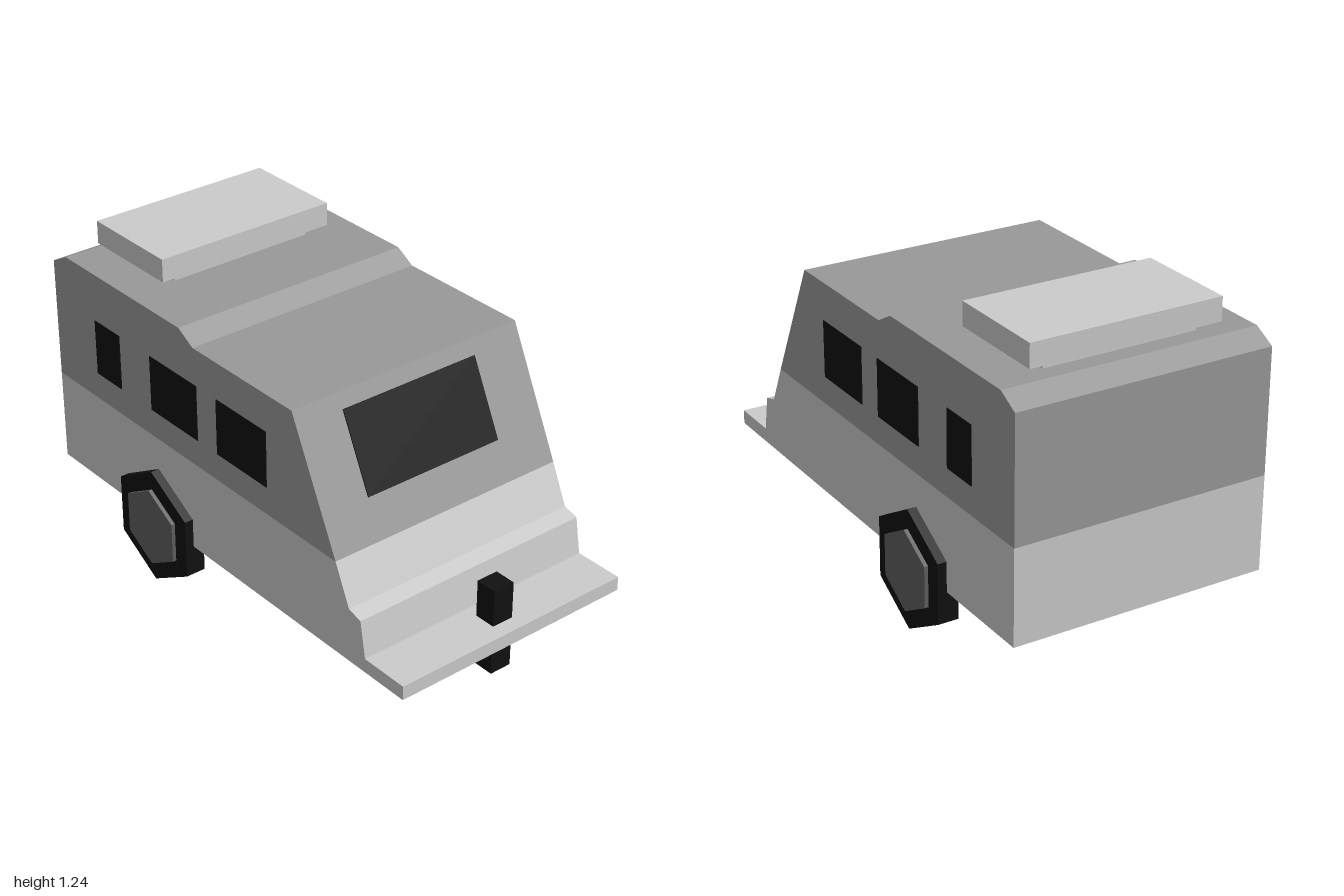
import * as THREE from 'three';

const material = (color) => new THREE.MeshStandardMaterial({ color, flatShading: true });

export function createModel() {
  const model = new THREE.Group();
  model.name = 'camperTrailer';
  const light = material(0xcccccc);
  const grey = material(0x999999);
  const black = material(0x111111);
  const hubGrey = material(0x606060);

  const add = (name, geometry, mat, x = 0, y = 0, z = 0) => {
    const mesh = new THREE.Mesh(geometry, mat);
    mesh.name = name;
    mesh.position.set(x, y, z);
    model.add(mesh);
    return mesh;
  };
  // Box given by its extents in x and y, and its depth centred on z
  const addBox = (name, mat, x0, x1, y0, y1, depth, z = 0) =>
    add(name, new THREE.BoxGeometry(x1 - x0, y1 - y0, depth), mat, (x0 + x1) / 2, (y0 + y1) / 2, z);
  // Side profile extruded across the full width
  const addProfile = (name, mat, points) => {
    const shape = new THREE.Shape(points.map(([x, y]) => new THREE.Vector2(x, y)));
    add(name, new THREE.ExtrudeGeometry(shape, { depth: 1, bevelEnabled: false }), mat, 0, 0, -0.5);
  };

  // Two-tone body: lower hull with the tow platform, upper cabin with raised roof
  addProfile('lowerBody', light, [
    [-1, 0.235], [1, 0.235], [1, 0.29], [0.805, 0.29], [0.78, 0.43],
    [0.72, 0.447], [0.649, 0.6], [-1, 0.6],
  ]);
  addProfile('upperBody', grey, [
    [-1, 0.6], [0.649, 0.6], [0.42, 1.075], [-0.13, 1.075],
    [-0.21, 1.12], [-0.915, 1.12], [-1, 1.075],
  ]);

  // Roof unit
  addBox('roofUnitBase', light, -0.845, -0.51, 1.115, 1.15, 0.6);
  addBox('roofUnitCover', light, -0.885, -0.475, 1.15, 1.24, 0.75);

  // Side windows and hexagonal wheels, mirrored
  for (const side of [1, -1]) {
    for (const [x0, x1] of [[-0.74, -0.585], [-0.395, -0.115], [0, 0.28]]) {
      addBox('sideWindow', black, x0, x1, 0.71, 0.93, 0.01, side * 0.498);
    }
    const wheel = add('wheel', new THREE.CylinderGeometry(0.235, 0.235, 0.08, 6), black, -0.37, 0.235, side * 0.495);
    wheel.rotation.x = Math.PI / 2;
    const hub = add('wheelHub', new THREE.CylinderGeometry(0.16, 0.16, 0.03, 6), hubGrey, -0.37, 0.235, side * 0.535);
    hub.rotation.x = Math.PI / 2;
  }

  // Front window, tilted to lie on the sloping face
  const slope = Math.atan2(0.229, 0.475);
  const frontWindow = add('frontWindow', new THREE.BoxGeometry(0.01, 0.28 / Math.cos(slope), 0.59), black, 0.513, 0.88, 0.01);
  frontWindow.rotation.z = slope;

  // Jockey post through the tow platform
  addBox('jockeyPost', black, 0.855, 0.94, 0.09, 0.435, 0.088);

  return model;
}
